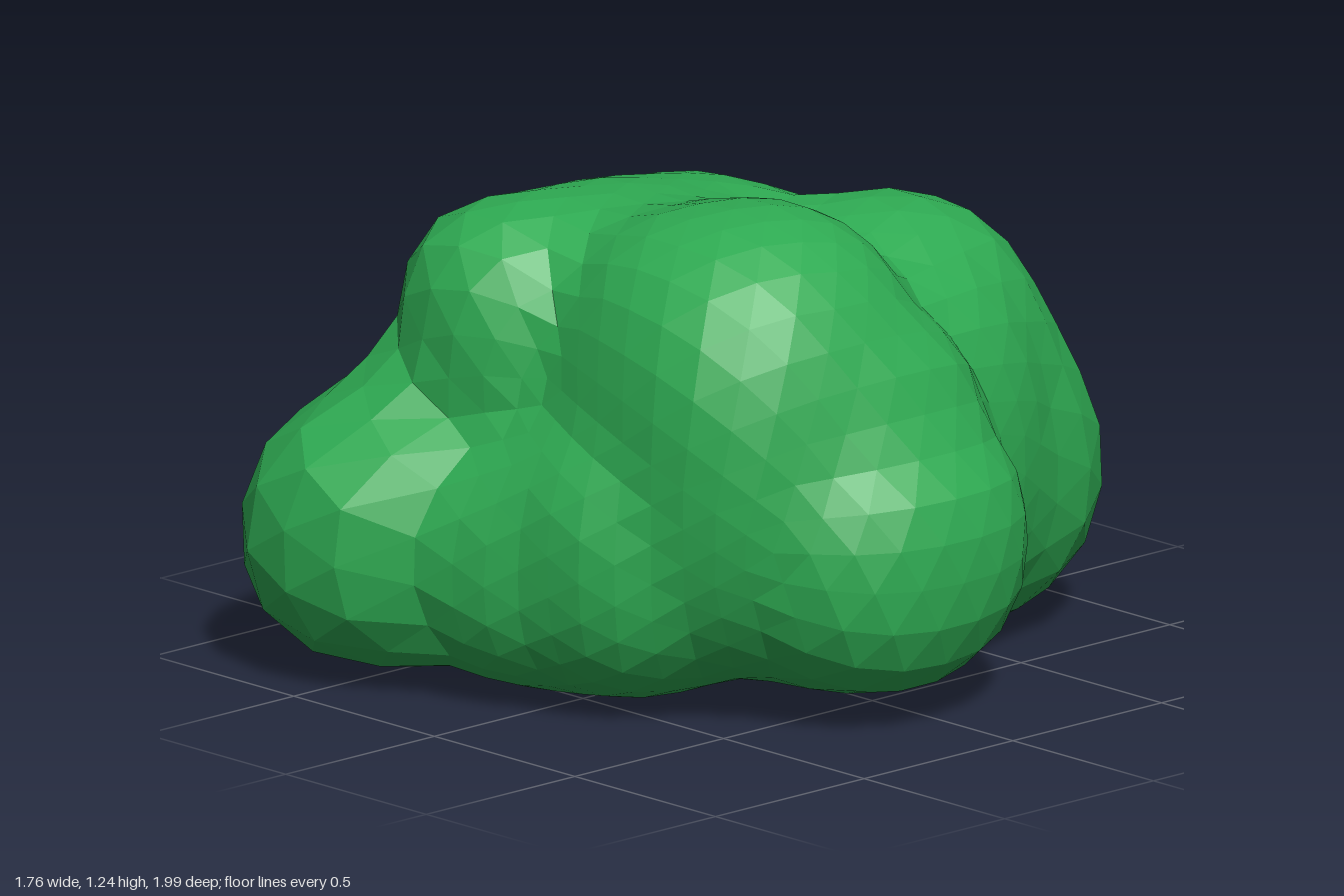
import * as THREE from 'three';
import { mergeVertices } from 'three/addons/utils/BufferGeometryUtils.js';

// Leafy lobes: centre and radii of each rounded mass
const lobes = [
  { c: [0.24, 0.67, 0.2], r: [0.45, 0.58, 0.44] },     // tall right crown
  { c: [-0.28, 0.65, 0.22], r: [0.36, 0.54, 0.42] },   // tall left crown
  { c: [-0.34, 0.85, 0.42], r: [0.27, 0.34, 0.27] },   // front of left crown
  { c: [-0.1, 0.75, 0.15], r: [0.33, 0.43, 0.4] },     // saddle between crowns
  { c: [-0.28, 0.54, -0.08], r: [0.43, 0.53, 0.4] },   // left flank
  { c: [-0.24, 0.75, -0.1], r: [0.34, 0.41, 0.36] },   // left flank, high
  { c: [0, 0.7, -0.2], r: [0.36, 0.39, 0.36] },        // saddle, crowns to back
  { c: [-0.12, 0.56, -0.35], r: [0.32, 0.49, 0.37] },  // fill, flank to back
  { c: [0.31, 0.55, -0.3], r: [0.25, 0.47, 0.36] },    // fill, right to back
  { c: [0.09, 0.41, -0.52], r: [0.38, 0.4, 0.48] },    // back, low
  { c: [0.09, 0.6, -0.5], r: [0.35, 0.38, 0.38] },     // back, middle
  { c: [0.1, 0.72, -0.43], r: [0.33, 0.4, 0.36] },     // back, high
  { c: [0.51, 0.42, 0.04], r: [0.37, 0.36, 0.39] },    // right flank
  { c: [0.51, 0.62, 0.05], r: [0.24, 0.37, 0.33] },    // right shoulder
  { c: [-0.53, 0.37, 0.61], r: [0.35, 0.34, 0.39] },   // low front corner
  { c: [-0.48, 0.52, 0.47], r: [0.26, 0.34, 0.33] },   // shoulder above corner
  { c: [-0.18, 0.36, 0.48], r: [0.33, 0.33, 0.35] },   // fill, corner to front
  { c: [0.05, 0.4, 0.4], r: [0.36, 0.38, 0.36] },      // low front
];
const SQUARENESS = 2.4, BLEND = 16;

// Soft union of the lobes: above 1 inside, below 1 outside
function field(p) {
  let sum = 0;
  for (const { c, r } of lobes) {
    const d = Math.abs((p.x - c[0]) / r[0]) ** SQUARENESS
      + Math.abs((p.y - c[1]) / r[1]) ** SQUARENESS
      + Math.abs((p.z - c[2]) / r[2]) ** SQUARENESS;
    sum += Math.max(d, 1e-3) ** (-BLEND / SQUARENESS);
  }
  return sum;
}

// Move each sphere vertex along its ray onto the outer skin of the lobes
function foliageGeometry() {
  const ball = new THREE.IcosahedronGeometry(1, 8);
  ball.deleteAttribute('normal');
  ball.deleteAttribute('uv');
  const geometry = mergeVertices(ball, 1e-4);
  const pos = geometry.attributes.position;
  const origin = new THREE.Vector3(-0.03, 0.5, 0.05);
  const dir = new THREE.Vector3(), p = new THREE.Vector3();
  const at = (t) => p.copy(origin).addScaledVector(dir, t);
  for (let i = 0; i < pos.count; i++) {
    dir.fromBufferAttribute(pos, i).normalize();
    let outer = 1.6;
    while (outer > 0.1 && field(at(outer)) < 1) outer -= 0.02;
    let inner = outer;
    outer += 0.02;
    for (let k = 0; k < 12; k++) {
      const mid = (inner + outer) / 2;
      if (field(at(mid)) < 1) outer = mid; else inner = mid;
    }
    at(inner);
    // gentle irregular dents
    const dent = 0.008 * Math.sin(9 * p.x + 4 * p.y) * Math.sin(8 * p.z - 5 * p.y + 1);
    at(inner + dent);
    pos.setXYZ(i, p.x, p.y, p.z);
  }
  // Rest it on the ground
  geometry.computeBoundingBox();
  geometry.translate(0, -geometry.boundingBox.min.y, 0);
  geometry.computeVertexNormals();
  return geometry;
}

export function createModel() {
  const group = new THREE.Group();
  group.name = 'bush';
  const foliage = new THREE.Mesh(
    foliageGeometry(),
    new THREE.MeshStandardMaterial({ color: 0x2eaa52, flatShading: true }),
  );
  foliage.name = 'foliage';
  group.add(foliage);
  return group;
}
